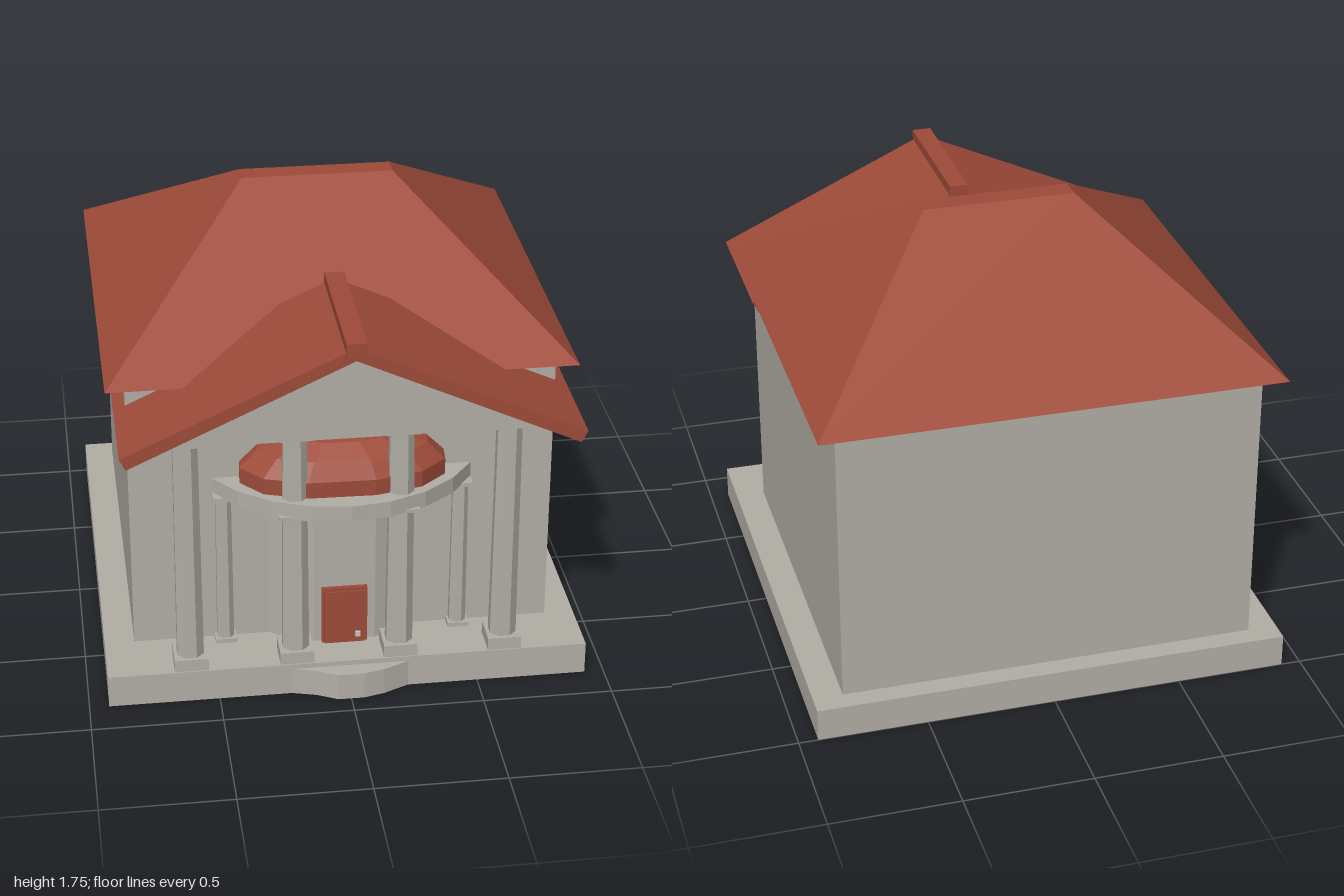
import * as THREE from 'three';

const stone = new THREE.MeshStandardMaterial({ color: 0xb2afa6 });
stone.name = 'stone';
const tile = new THREE.MeshStandardMaterial({ color: 0x9e4b39 });
tile.name = 'terracotta';
const metal = new THREE.MeshStandardMaterial({ color: 0xc4c6c0 });
metal.name = 'metal';
for (const m of [stone, tile, metal]) m.flatShading = true;

export function createModel() {
  const house = new THREE.Group();
  house.name = 'house';

  const add = (name, geometry, material, parent = house) => {
    const mesh = new THREE.Mesh(geometry, material);
    mesh.name = name;
    parent.add(mesh);
    return mesh;
  };
  // Box given by its limits on each axis
  const box = (name, material, [x0, x1], [y0, y1], [z0, z1], parent) => {
    const g = new THREE.BoxGeometry(x1 - x0, y1 - y0, z1 - z0);
    g.translate((x0 + x1) / 2, (y0 + y1) / 2, (z0 + z1) / 2);
    return add(name, g, material, parent);
  };
  const shape = (pts) => new THREE.Shape(pts.map(([x, y]) => new THREE.Vector2(x, y)));
  const extrude = (pts, depth) =>
    new THREE.ExtrudeGeometry(shape(pts), { depth, bevelEnabled: false });
  // Front outline (x, y) pushed along z
  const frontPrism = (name, material, pts, z0, z1) =>
    add(name, extrude(pts, z1 - z0).translate(0, 0, z0), material);
  // Plan outline (x, z) raised along y
  const planPrism = (name, material, pts, y0, y1) =>
    add(name, extrude(pts.map(([x, z]) => [x, -z]), y1 - y0)
      .rotateX(-Math.PI / 2).translate(0, y0, 0), material);

  // Base, entrance step and main block
  box('base', stone, [-0.925, 0.925], [0, 0.13], [-1, 0.855]);
  planPrism('entranceStep', stone,
    [[-0.24, 0.8], [-0.24, 0.85], [-0.13, 0.88], [-0.05, 0.92], [0.05, 0.92], [0.13, 0.9], [0.24, 0.85], [0.24, 0.8]], 0, 0.11);
  box('walls', stone, [-0.81, 0.81], [0.13, 1.26], [-0.92, 0.615]);

  // Hipped roof: a square frustum stretched to its eave and ridge rectangles
  const hip = new THREE.BoxGeometry(2, 1, 2);
  const p = hip.attributes.position;
  for (let i = 0; i < p.count; i++) {
    const top = p.getY(i) > 0;
    const x = Math.sign(p.getX(i)) * (top ? 0.295 : 0.885);
    const z = p.getZ(i) > 0 ? (top ? -0.11 : 0.69) : (top ? -0.2 : -1);
    p.setXYZ(i, x, top ? 1.745 : 1.26, z);
  }
  hip.computeVertexNormals();
  add('hippedRoof', hip, tile);

  // Portico: pediment, sloping slabs and ridge beam
  frontPrism('pediment', stone,
    [[-0.73, 1.11], [0.73, 1.11], [0.73, 1.155], [0, 1.49], [-0.73, 1.155]], 0.6, 0.87);
  for (const s of [-1, 1]) {
    const pts = [[0, 1.485], [0.832, 1.1], [0.855, 1.145], [0, 1.535]].map(([x, y]) => [s * x, y]);
    frontPrism(s > 0 ? 'leftPorticoRoof' : 'rightPorticoRoof', tile, pts, 0.395, 0.99);
  }
  box('porticoRidge', tile, [-0.038, 0.038], [1.495, 1.557], [0.39, 1]);

  // Eight-sided column with plinth and capital
  const column = (name, x, z, y0, y1, r, plinth) => {
    const g = new THREE.Group();
    g.name = name;
    const shaft = new THREE.CylinderGeometry(r * 0.9, r, y1 - y0, 8);
    shaft.rotateY(Math.PI / 8).translate(0, (y0 + y1) / 2, 0);
    add('shaft', shaft, stone, g);
    const w = r * 1.18;
    if (plinth) box('plinth', stone, [-w, w], [y0, y0 + plinth], [-w, w], g);
    box('capital', stone, [-w, w], [y1 - 0.015, y1], [-w, w], g);
    g.position.set(x, 0, z);
    house.add(g);
  };
  for (const s of [-1, 1]) {
    column('outerColumn', s * 0.605, 0.785, 0.13, 1.11, 0.055, 0.05);
    column('innerLowerColumn', s * 0.2, 0.785, 0.13, 0.78, 0.055, 0.05);
    column('innerUpperColumn', s * 0.2, 0.785, 0.83, 1.11, 0.052, 0);
    column('sideColumn', s * 0.455, 0.63, 0.13, 0.775, 0.035, 0.018);
  }

  // Curved balcony
  const arc = [];
  for (let i = 0; i <= 8; i++) {
    const a = (i / 8 - 0.5) * 2 * 1.05;
    arc.push([0.5 * Math.sin(a) / Math.sin(1.05), 0.61 + 0.285 * (Math.cos(a) - Math.cos(1.05)) / (1 - Math.cos(1.05))]);
  }
  planPrism('balcony', stone, arc, 0.77, 0.835);

  // Entrance bay and door
  planPrism('entranceBay', stone,
    [[-0.3, 0.6], [-0.24, 0.65], [-0.12, 0.7], [0.12, 0.7], [0.24, 0.65], [0.3, 0.6]], 0.13, 0.77);
  box('doorFrame', tile, [-0.088, 0.088], [0.13, 0.372], [0.69, 0.717]);
  box('doorPanel', tile, [-0.078, 0.078], [0.13, 0.358], [0.715, 0.724]);
  box('doorKnob', metal, [0.04, 0.06], [0.158, 0.178], [0.722, 0.734]);

  // Faceted awning dome, a sphere squared off towards a rounded box
  const dome = new THREE.SphereGeometry(1, 12, 7).rotateY(0.2);
  const d = dome.attributes.position;
  const soft = (v) => Math.sign(v) * Math.pow(Math.abs(v), 0.85);
  for (let i = 0; i < d.count; i++) {
    d.setXYZ(i, soft(d.getX(i)) * 0.41, 0.852 + soft(d.getY(i)) * 0.172, 0.61 + soft(d.getZ(i)) * 0.22);
  }
  const faceted = dome.toNonIndexed();
  faceted.computeVertexNormals();
  add('awningDome', faceted, tile);

  return house;
}
